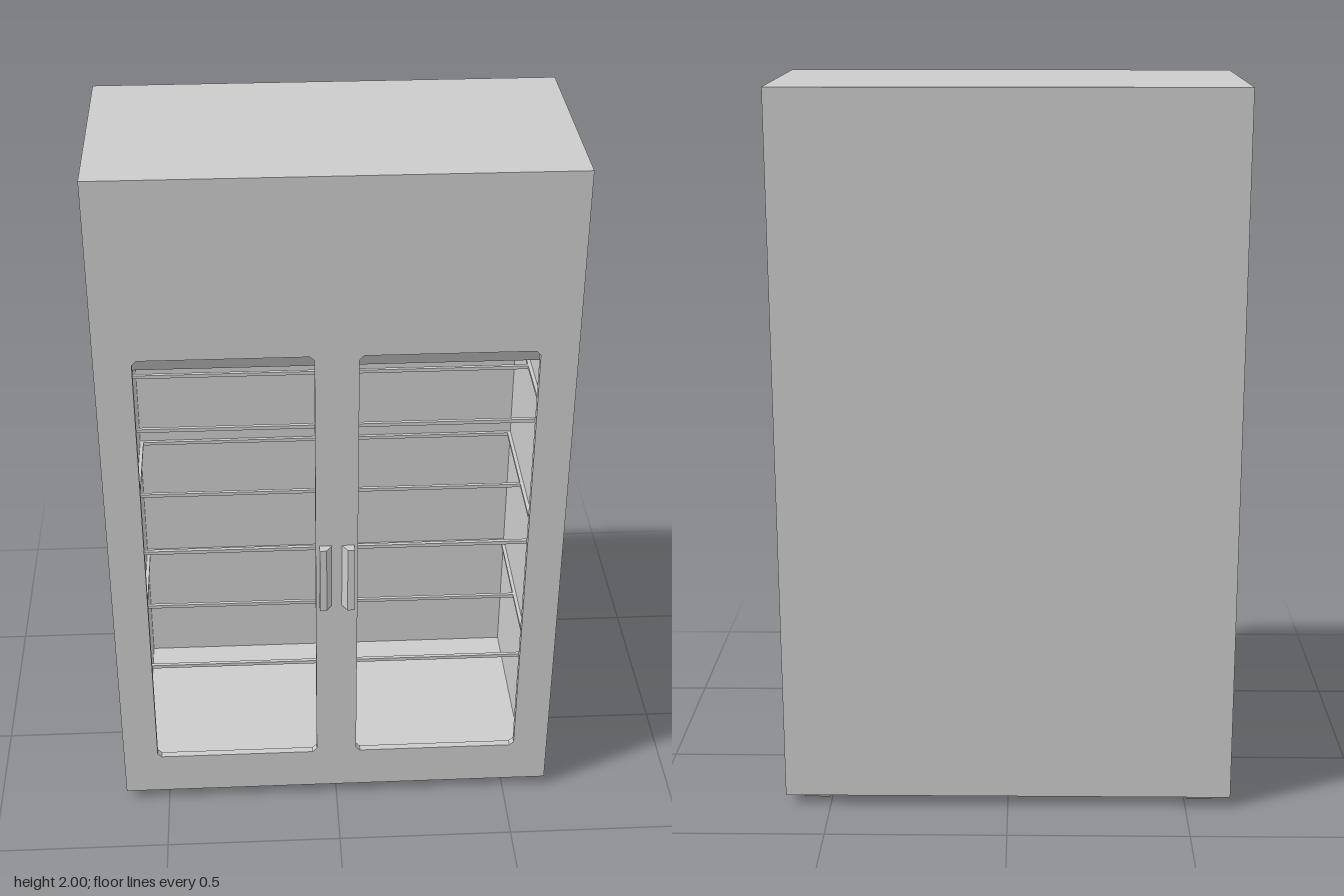
import * as THREE from 'three';

const material = new THREE.MeshStandardMaterial({ color: 0xcccccc, flatShading: true });
const W = 0.626, FRONT = 0.3, BACK = -0.325, SKIN = 0.02, BASE = 0.03;
const IN_X = 0.56, IN_BACK = -0.3, FLOOR = 0.09, CEILING = 1.44;

export function createModel() {
  const model = new THREE.Group();
  model.name = 'displayCabinet';

  const add = (name, geometry, parent = model) => {
    const mesh = new THREE.Mesh(geometry, material);
    mesh.name = name;
    parent.add(mesh);
    return mesh;
  };

  // Box given by its minimum and maximum corners
  const box = (name, [x0, y0, z0], [x1, y1, z1], parent) =>
    add(name, new THREE.BoxGeometry(x1 - x0, y1 - y0, z1 - z0)
      .translate((x0 + x1) / 2, (y0 + y1) / 2, (z0 + z1) / 2), parent);

  const extrude = (points, depth) => new THREE.ExtrudeGeometry(
    new THREE.Shape(points.map(([x, y]) => new THREE.Vector2(x, y))),
    { depth, bevelEnabled: false });

  // Profile of [z, y] points extruded along x, centred on x = 0
  const extrudeAlongX = (points, width) =>
    extrude(points, width).translate(0, 0, -width / 2).rotateY(-Math.PI / 2);

  // Front panel with two window openings with clipped corners
  const panel = new THREE.Shape();
  panel.moveTo(-W, BASE).lineTo(W, BASE).lineTo(W, 2).lineTo(-W, 2).closePath();
  const c = 0.012;
  for (const s of [-1, 1]) {
    const x0 = Math.min(s * 0.058, s * 0.527), x1 = Math.max(s * 0.058, s * 0.527);
    const y0 = 0.16, y1 = 1.5;
    panel.holes.push(new THREE.Path([
      [x0 + c, y0], [x0, y0 + c], [x0, y1 - c], [x0 + c, y1],
      [x1 - c, y1], [x1, y1 - c], [x1, y0 + c], [x1 - c, y0],
    ].map(([x, y]) => new THREE.Vector2(x, y))));
  }
  add('frontPanel', new THREE.ExtrudeGeometry(panel, { depth: SKIN, bevelEnabled: false })
    .translate(0, 0, FRONT - SKIN));

  // Outer skin; its lower edge forms a skirt around the feet
  const innerFront = FRONT - SKIN;
  box('backPanel', [-W, BASE, BACK], [W, 2, IN_BACK]);
  for (const s of [-1, 1]) {
    const side = s > 0 ? 'left' : 'right';
    const xs = (a, b) => [Math.min(s * a, s * b), Math.max(s * a, s * b)];
    const [o0, o1] = xs(W - SKIN, W);
    box(side + 'SidePanel', [o0, BASE, IN_BACK], [o1, 2, innerFront]);
    const [l0, l1] = xs(IN_X, W - SKIN);
    box(side + 'Liner', [l0, FLOOR, IN_BACK], [l1, 1.52, innerFront]);
  }
  box('floor', [-W + SKIN, 0.08, IN_BACK], [W - SKIN, FLOOR, innerFront]);

  // Solid upper housing with a sloping lintel behind the windows
  add('upperHousing', extrudeAlongX([
    [IN_BACK, CEILING], [innerFront - 0.04, CEILING], [innerFront, 1.5],
    [innerFront, 2], [IN_BACK, 2],
  ], 2 * (W - SKIN)));

  // Open shelf frames: front, middle and back rails joined by side rails
  const rail = 0.01, shelfFront = innerFront - 0.004;
  for (const y of [0.475, 0.875, 1.27]) {
    const shelf = new THREE.Group();
    shelf.name = 'shelf';
    model.add(shelf);
    for (const z of [IN_BACK, (IN_BACK + shelfFront - rail) / 2, shelfFront - rail])
      box('crossRail', [-IN_X, y, z], [IN_X, y + rail, z + rail], shelf);
    for (const x of [-IN_X, IN_X - rail])
      box('sideRail', [x, y, IN_BACK], [x + rail, y + rail, shelfFront], shelf);
  }

  // Door handles with a slanted inner face
  const grip = [[0.014, FRONT], [0.048, FRONT], [0.048, 0.325], [0.029, 0.325]];
  for (const s of [-1, 1])
    add(s > 0 ? 'leftHandle' : 'rightHandle',
      extrude(grip.map(([x, z]) => [s * x, -z]), 0.205)
        .rotateX(-Math.PI / 2).translate(0, 0.7, 0));

  // Tapered feet
  const foot = [[-0.036, 0], [0.036, 0], [0.063, BASE], [0.063, 0.08], [-0.063, 0.08], [-0.063, BASE]];
  for (const x of [-0.543, 0.543])
    for (const z of [0.213, -0.236])
      add('foot', extrudeAlongX(foot, 0.072)).position.set(x, 0, z);

  return model;
}
